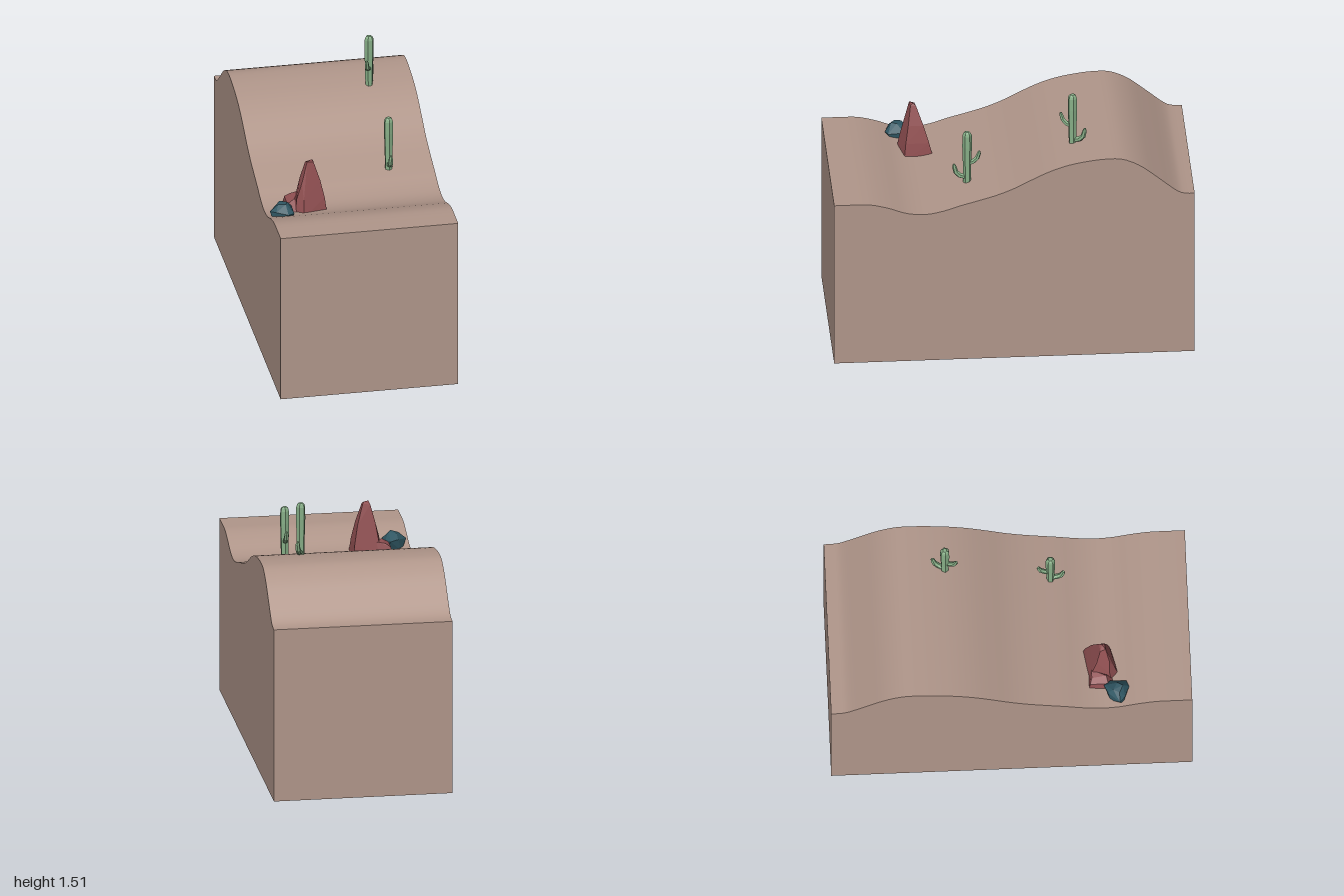
import * as THREE from 'three';
import { toCreasedNormals } from 'three/addons/utils/BufferGeometryUtils.js';
import { ConvexGeometry } from 'three/addons/geometries/ConvexGeometry.js';

const V = (x, y, z) => new THREE.Vector3(x, y, z);
const flat = (color) => new THREE.MeshStandardMaterial({ color, flatShading: true });
const sand = new THREE.MeshStandardMaterial({ color: 0xb0968a });
const green = flat(0x88b088), red = flat(0x915052), teal = flat(0x2f5662);

function addMesh(parent, name, geometry, material) {
  const mesh = new THREE.Mesh(geometry, material);
  mesh.name = name;
  parent.add(mesh);
  return mesh;
}

// Six-sided stem along a path in the zy plane; each point is [z, y, radius]
function stem(path) {
  const sides = 6, pos = [], index = [];
  path.forEach(([z, y, r], i) => {
    const a = path[Math.max(i - 1, 0)], b = path[Math.min(i + 1, path.length - 1)];
    const len = Math.hypot(b[0] - a[0], b[1] - a[1]);
    const nz = (b[1] - a[1]) / len, ny = -(b[0] - a[0]) / len;
    for (let k = 0; k < sides; k++) {
      const t = (k / sides) * Math.PI * 2, c = r * Math.cos(t);
      pos.push(r * Math.sin(t), y + ny * c, z + nz * c);
    }
  });
  for (let i = 0; i < path.length - 1; i++) {
    for (let k = 0; k < sides; k++) {
      const a = i * sides + k, b = i * sides + (k + 1) % sides;
      index.push(a, b, b + sides, a, b + sides, a + sides);
    }
  }
  // End caps
  const last = (path.length - 1) * sides;
  for (let k = 1; k < sides - 1; k++) {
    index.push(0, k + 1, k, last, last + k, last + k + 1);
  }
  const g = new THREE.BufferGeometry();
  g.setAttribute('position', new THREE.Float32BufferAttribute(pos, 3));
  g.setIndex(index);
  g.computeVertexNormals();
  return g;
}

function cactus(name) {
  const group = new THREE.Group();
  group.name = name;
  addMesh(group, 'trunk', stem([
    [0, -0.02, 0.021], [0, 0.1, 0.023], [0, 0.22, 0.027], [0, 0.29, 0.026], [0, 0.305, 0.021], [0, 0.313, 0.012],
  ]), green);
  addMesh(group, 'lowerArm', stem([
    [0.01, 0.03, 0.015], [0.04, 0.038, 0.015], [0.062, 0.06, 0.014], [0.071, 0.095, 0.012], [0.073, 0.11, 0.006],
  ]), green);
  addMesh(group, 'upperArm', stem([
    [-0.01, 0.115, 0.014], [-0.035, 0.125, 0.014], [-0.056, 0.145, 0.013], [-0.066, 0.175, 0.011], [-0.068, 0.188, 0.006],
  ]), green);
  return group;
}

export function createModel() {
  const model = new THREE.Group();

  // Ground block: smooth dune profile extruded across x
  const profile = [
    [1, 1], [0.9, 1], [0.8, 0.997], [0.7, 0.972], [0.6, 0.936], [0.5, 0.924], [0.4, 0.94],
    [0.3, 0.972], [0.2, 1], [0.1, 1.03], [0, 1.07], [-0.1, 1.122], [-0.2, 1.17], [-0.3, 1.204],
    [-0.4, 1.224], [-0.5, 1.235], [-0.6, 1.231], [-0.7, 1.185], [-0.8, 1.105], [-0.9, 1.022], [-0.95, 1.003], [-1, 1],
  ].map(([z, y]) => new THREE.Vector2(-z, y));
  const shape = new THREE.Shape();
  shape.moveTo(1, 0);
  shape.lineTo(1, 1);
  shape.splineThru(profile.slice(0, -1).reverse());
  shape.lineTo(-1, 0);
  shape.closePath();
  const ground = new THREE.ExtrudeGeometry(shape, { depth: 1, bevelEnabled: false, curveSegments: 3 });
  ground.rotateY(Math.PI / 2).translate(-0.5, 0, 0);
  addMesh(model, 'ground', toCreasedNormals(ground, 0.6), sand);

  // Cacti
  const near = cactus('nearCactus');
  near.position.set(0.25, 0.987, 0.245);
  const far = cactus('farCactus');
  far.position.set(0.25, 1.2, -0.34);
  far.rotation.y = 2.76;
  model.add(near, far);

  // Tall rock spire
  addMesh(model, 'rockSpire', new ConvexGeometry([
    V(-0.16, 0.9, 0.4), V(-0.155, 0.9, 0.565), V(-0.295, 0.9, 0.6), V(-0.335, 0.9, 0.56), V(-0.325, 0.9, 0.43),
    V(-0.17, 1.0, 0.425), V(-0.168, 1.0, 0.555), V(-0.29, 1.0, 0.58), V(-0.325, 1.0, 0.55),
    V(-0.19, 1.1, 0.455), V(-0.19, 1.1, 0.54), V(-0.295, 1.1, 0.55), V(-0.295, 1.1, 0.48),
    V(-0.225, 1.21, 0.495), V(-0.225, 1.21, 0.525), V(-0.235, 1.22, 0.51),
    V(-0.262, 1.218, 0.53), V(-0.268, 1.205, 0.5),
  ]), red);

  // Low rock beside the spire
  addMesh(model, 'lowRock', new ConvexGeometry([
    V(-0.385, 0.9, 0.43), V(-0.39, 0.9, 0.55), V(-0.33, 0.9, 0.58), V(-0.27, 0.9, 0.56), V(-0.27, 0.9, 0.43),
    V(-0.375, 0.97, 0.44), V(-0.375, 0.97, 0.54), V(-0.335, 0.995, 0.53), V(-0.3, 1.0, 0.45), V(-0.345, 0.99, 0.45),
  ]), red);

  // Small dark boulder
  addMesh(model, 'boulder', new ConvexGeometry([
    V(-0.45, 0.91, 0.55), V(-0.36, 0.91, 0.53), V(-0.36, 0.91, 0.62), V(-0.41, 0.91, 0.64), V(-0.47, 0.92, 0.62),
    V(-0.485, 0.965, 0.6), V(-0.455, 0.97, 0.63), V(-0.39, 0.96, 0.655), V(-0.355, 0.96, 0.64), V(-0.355, 0.965, 0.55),
    V(-0.385, 0.975, 0.515), V(-0.43, 0.98, 0.535),
    V(-0.44, 1.003, 0.6), V(-0.4, 1.01, 0.62), V(-0.385, 1.01, 0.59), V(-0.425, 1.008, 0.565),
  ]), teal);

  return model;
}
